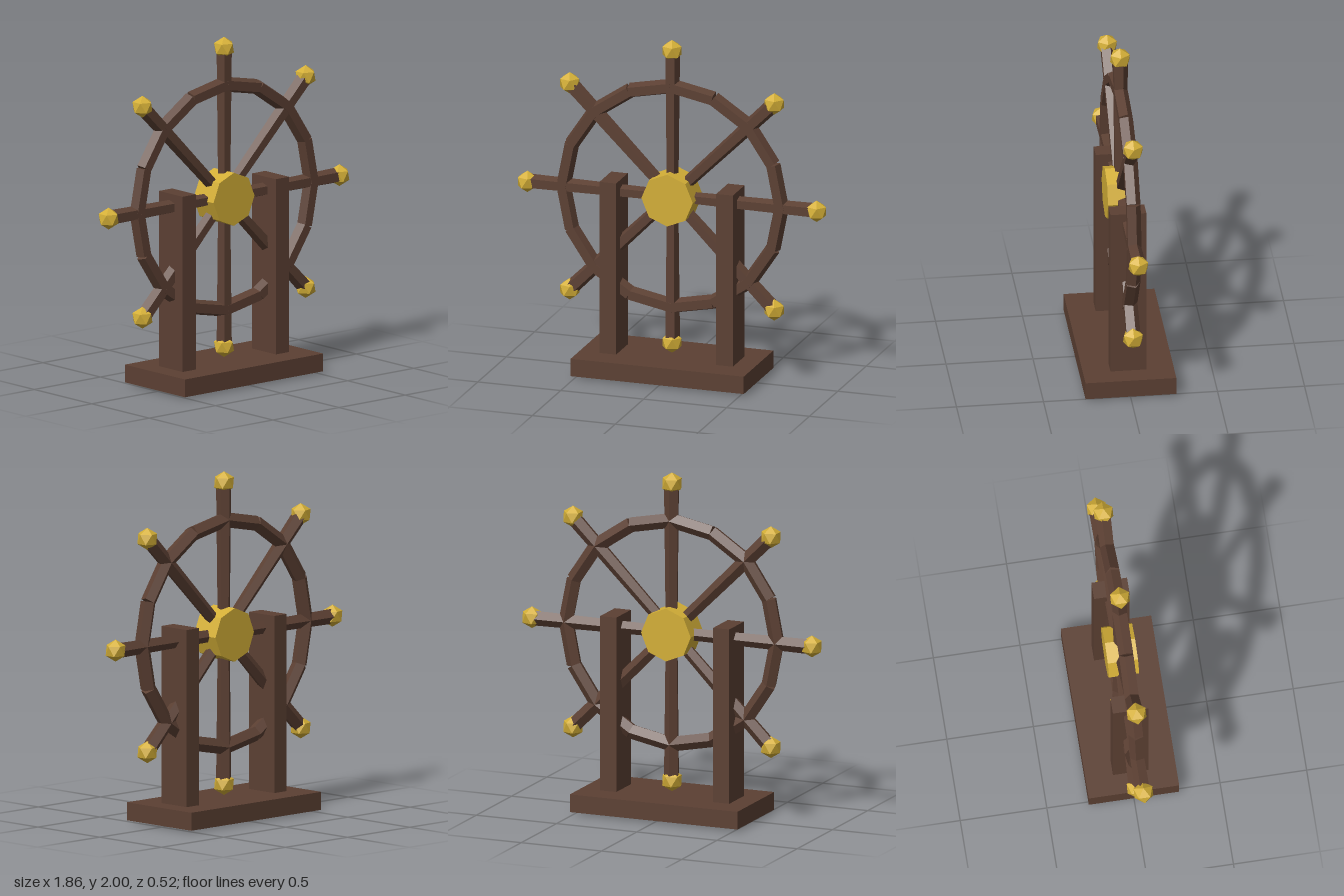
import * as THREE from 'three';

export function createModel() {
  const wood = new THREE.MeshStandardMaterial({ color: 0x5c4033, flatShading: true });
  wood.name = 'dark wood';
  const brass = new THREE.MeshStandardMaterial({ color: 0xd4af37, flatShading: true });
  brass.name = 'brass';

  const model = new THREE.Group();
  model.name = 'shipWheelOnStand';
  const add = (parent, name, geometry, material, x = 0, y = 0, z = 0) => {
    const mesh = new THREE.Mesh(geometry, material);
    mesh.name = name;
    mesh.position.set(x, y, z);
    parent.add(mesh);
    return mesh;
  };

  // Stand: plinth and two posts that run through it
  add(model, 'base', new THREE.BoxGeometry(1.044, 0.104, 0.522), wood, 0, 0.064);
  for (const side of [-1, 1]) {
    add(model, side > 0 ? 'leftPost' : 'rightPost',
      new THREE.BoxGeometry(0.1, 1.14, 0.206), wood, side * 0.352, 0.57);
  }

  const wheel = new THREE.Group();
  wheel.name = 'wheel';
  wheel.position.y = 1.064;
  model.add(wheel);

  // Octagonal hub with a corner at the top
  add(wheel, 'hub', new THREE.CylinderGeometry(0.155, 0.155, 0.174, 8).rotateX(Math.PI / 2), brass);

  // Five-sided bars, flat side to the front; spokes widen outwards
  const spokeLength = 0.87;
  const spoke = new THREE.CylinderGeometry(0.046, 0.036, spokeLength, 5)
    .rotateY(Math.PI).translate(0, spokeLength / 2, 0);
  // Knob: icosahedron standing on a corner
  const knob = new THREE.IcosahedronGeometry(0.064, 0)
    .rotateZ(-Math.atan(2 / (1 + Math.sqrt(5))));
  for (let i = 0; i < 8; i++) {
    const a = i * Math.PI / 4;
    add(wheel, 'spoke', spoke, wood).rotation.z = a;
    add(wheel, 'knob', knob, brass, -Math.sin(a) * 0.872, Math.cos(a) * 0.872);
  }

  // Rim: sixteen straight bars meeting at the spokes and halfway between them
  const rimRadius = 0.657, step = Math.PI / 8;
  const rimBar = new THREE.CylinderGeometry(0.045, 0.045, 2 * rimRadius * Math.sin(step / 2), 5)
    .rotateY(Math.PI);
  for (let i = 0; i < 16; i++) {
    const a = (i + 0.5) * step, r = rimRadius * Math.cos(step / 2);
    add(wheel, 'rimSegment', rimBar, wood, Math.cos(a) * r, Math.sin(a) * r).rotation.z = a;
  }

  return model;
}
